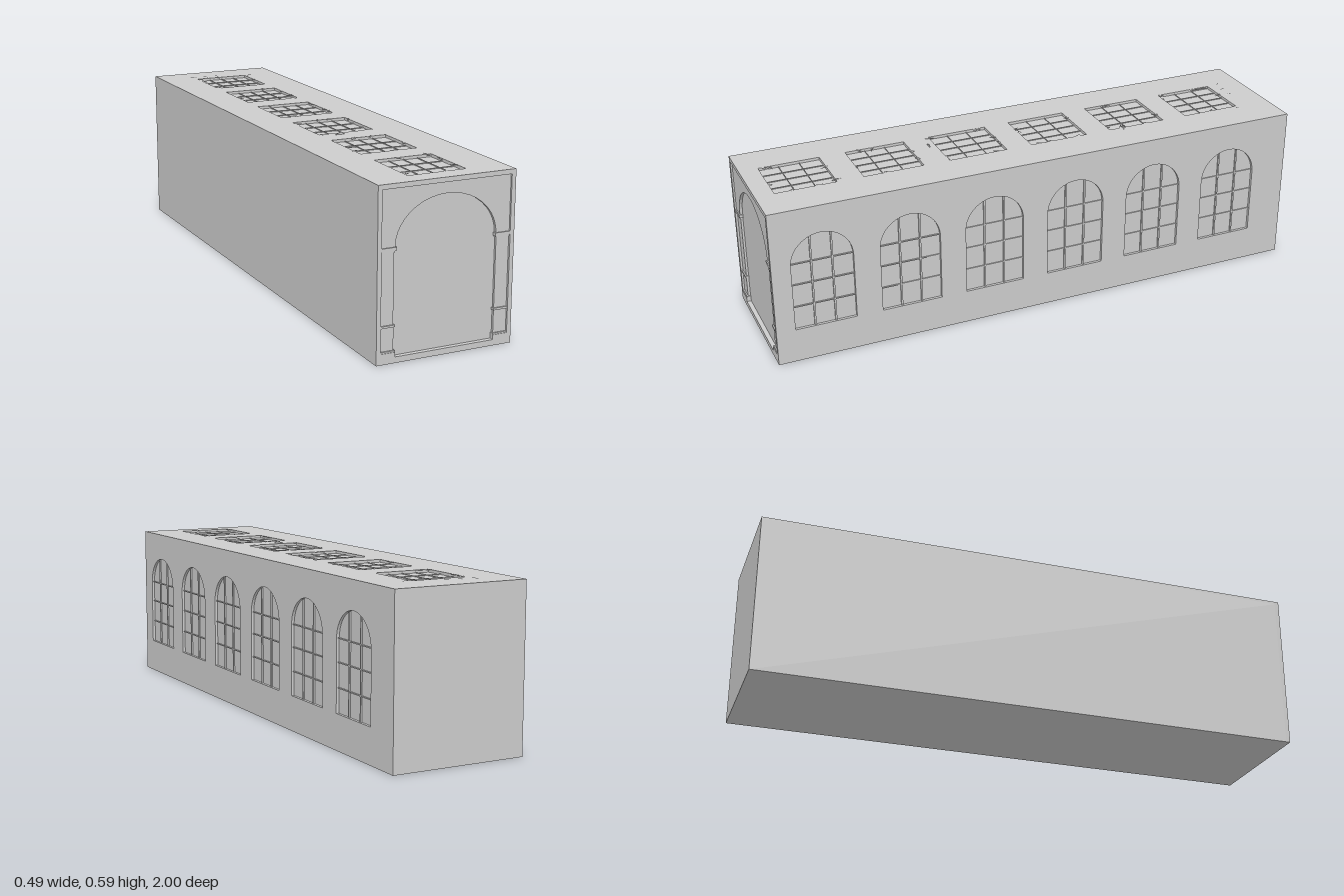
import * as THREE from 'three';

const W = 0.245, H = 0.58, L = 1, T = 0.01; // half width, height, half length, slab thickness
const F = 0.015; // width of the front border
const Z = 0.984; // plane of the closed front panel

export function createModel() {
  const model = new THREE.Group();
  model.name = 'galleryHall';
  const stone = new THREE.MeshStandardMaterial({ color: 0xcccccc });
  stone.name = 'greyStone';

  const add = (name, geometry, parent = model) => {
    const mesh = new THREE.Mesh(geometry, stone);
    mesh.name = name;
    parent.add(mesh);
    return mesh;
  };
  // box given by its lower and upper limits
  const block = (name, x0, x1, y0, y1, z0, z1, parent) => {
    const g = new THREE.BoxGeometry(x1 - x0, y1 - y0, z1 - z0);
    g.translate((x0 + x1) / 2, (y0 + y1) / 2, (z0 + z1) / 2);
    return add(name, g, parent);
  };
  const rect = (C, x0, x1, y0, y1) => new C([[x0, y0], [x1, y0], [x1, y1], [x0, y1]]
    .map(p => new THREE.Vector2(...p)));
  // rectangle with an elliptical head
  const arched = (C, cx, half, bottom, spring, top) => {
    const s = new C();
    s.moveTo(cx - half, bottom);
    s.lineTo(cx + half, bottom);
    s.lineTo(cx + half, spring);
    s.absellipse(cx, spring, half, top - spring, 0, Math.PI, false, 0);
    s.lineTo(cx - half, bottom);
    return s;
  };
  const slab = (shape, depth) =>
    new THREE.ExtrudeGeometry(shape, { depth, bevelEnabled: false, curveSegments: 10 });

  // solid core
  block('core', -W, W - T, 0, H - T, -L, Z);

  const bays = Array.from({ length: 6 }, (_, i) => 0.822 - 0.315 * i);

  // side wall with arched windows; shape x runs along -z
  const wall = rect(THREE.Shape, -Z, L, 0, H - T);
  bays.forEach(z => wall.holes.push(arched(THREE.Path, -z, 0.11, 0.125, 0.37, 0.48)));
  const wallGeo = slab(wall, T);
  wallGeo.rotateY(Math.PI / 2).translate(W - T, 0, 0);
  add('windowWall', wallGeo);

  // roof slab with skylight openings; shape y runs along -z
  const roof = rect(THREE.Shape, -W, W, -Z, L);
  bays.forEach(z => roof.holes.push(rect(THREE.Path, -0.107, 0.102, -z - 0.11, -z + 0.11)));
  const roofGeo = slab(roof, T);
  roofGeo.rotateX(-Math.PI / 2).translate(0, H - T, 0);
  add('roof', roofGeo);

  // window and skylight bars
  bays.forEach(z => {
    const win = new THREE.Group();
    win.name = 'windowBars';
    model.add(win);
    for (const s of [-1, 1])
      block('upright', W - T, W - 0.005, 0.125, 0.472, z + s * 0.037 - 0.003, z + s * 0.037 + 0.003, win);
    for (const y of [0.21, 0.295, 0.375])
      block('crossbar', W - T, W - 0.006, y - 0.002, y + 0.002, z - 0.11, z + 0.11, win);

    const sky = new THREE.Group();
    sky.name = 'skylightBars';
    model.add(sky);
    for (const x of [-0.055, -0.0025, 0.05])
      block('longBar', x - 0.001, x + 0.001, H - T, H - 0.007, z - 0.11, z + 0.11, sky);
    for (const s of [-1, 1])
      block('shortBar', -0.107, 0.102, H - T, H - 0.007, z + s * 0.037 - 0.001, z + s * 0.037 + 0.001, sky);
  });

  // front border, its sill rising beside the archway
  const border = rect(THREE.Shape, -W, W, 0, H);
  border.holes.push(new THREE.Path([
    [-0.178, 0.02], [0.178, 0.02], [0.178, 0.036], [W - F, 0.036],
    [W - F, 0.564], [-W + F, 0.564], [-W + F, 0.036], [-0.178, 0.036],
  ].map(p => new THREE.Vector2(...p))));
  const borderGeo = slab(border, L - Z);
  borderGeo.translate(0, 0, Z);
  add('frontBorder', borderGeo);

  // archway spandrel, standing on the pilasters
  const spandrel = new THREE.Shape();
  spandrel.moveTo(W - F, 0.375);
  spandrel.lineTo(W - F, 0.564);
  spandrel.lineTo(-W + F, 0.564);
  spandrel.lineTo(-W + F, 0.375);
  spandrel.lineTo(-0.181, 0.375);
  spandrel.absellipse(0, 0.375, 0.181, 0.152, Math.PI, 0, true, 0);
  const archGeo = slab(spandrel, 0.01);
  archGeo.translate(0, 0, Z);
  add('archway', archGeo);

  // pilasters with plinth, band and capital on both sides
  for (const s of [-1, 1]) {
    const pilaster = new THREE.Group();
    pilaster.name = s > 0 ? 'leftPilaster' : 'rightPilaster';
    model.add(pilaster);
    const step = (name, inner, y0, y1, z1) => block(name,
      s > 0 ? inner : -W + F, s > 0 ? W - F : -inner, y0, y1, Z, z1, pilaster);
    step('plinth', 0.178, 0.036, 0.041, 0.998);
    step('pedestal', 0.182, 0.041, 0.118, 0.993);
    step('band', 0.179, 0.118, 0.125, 0.997);
    step('shaft', 0.183, 0.125, 0.36, 0.992);
    step('necking', 0.181, 0.36, 0.366, 0.995);
    step('capital', 0.176, 0.366, 0.377, 0.998);
  }

  // broken glass scattered round the skylights
  let seed = 7;
  const rnd = () => (seed = (seed * 16807) % 2147483647) / 2147483647;
  const glass = new THREE.Group();
  glass.name = 'brokenGlass';
  model.add(glass);
  const shard = (x, z, len, wid, turn) => {
    const g = new THREE.ConeGeometry(1, 0.003, 3).toNonIndexed();
    g.scale(wid, 1, len).rotateY(turn).translate(x, H + 0.0005, z);
    g.computeVertexNormals();
    add('shard', g, glass);
  };
  bays.forEach(z => {
    for (let i = 0; i < 7; i++) {
      const edge = rnd() < 0.5;
      const side = rnd() < 0.5 ? -1 : 1;
      const along = (rnd() * 2 - 1) * 0.1;
      const x = edge ? side * 0.1 : along;
      const dz = edge ? along : side * 0.11;
      shard(x, z + dz, 0.018 + rnd() * 0.014, 0.004 + rnd() * 0.006, rnd() * 6.28);
    }
  });
  for (const [x, z, turn] of [[-0.11, -0.91, 0.5], [-0.06, -0.9, 0.35], [-0.01, -0.9, 0], [0.12, -0.86, 1.9]])
    shard(x, z, 0.03, 0.008, turn);

  // one upright splinter
  const splinter = new THREE.Shape([[-0.057, H], [-0.02, H], [-0.035, 0.589]]
    .map(p => new THREE.Vector2(...p)));
  const splinterGeo = slab(splinter, 0.003);
  splinterGeo.translate(0, 0, 0.325);
  add('splinter', splinterGeo, glass);

  return model;
}
